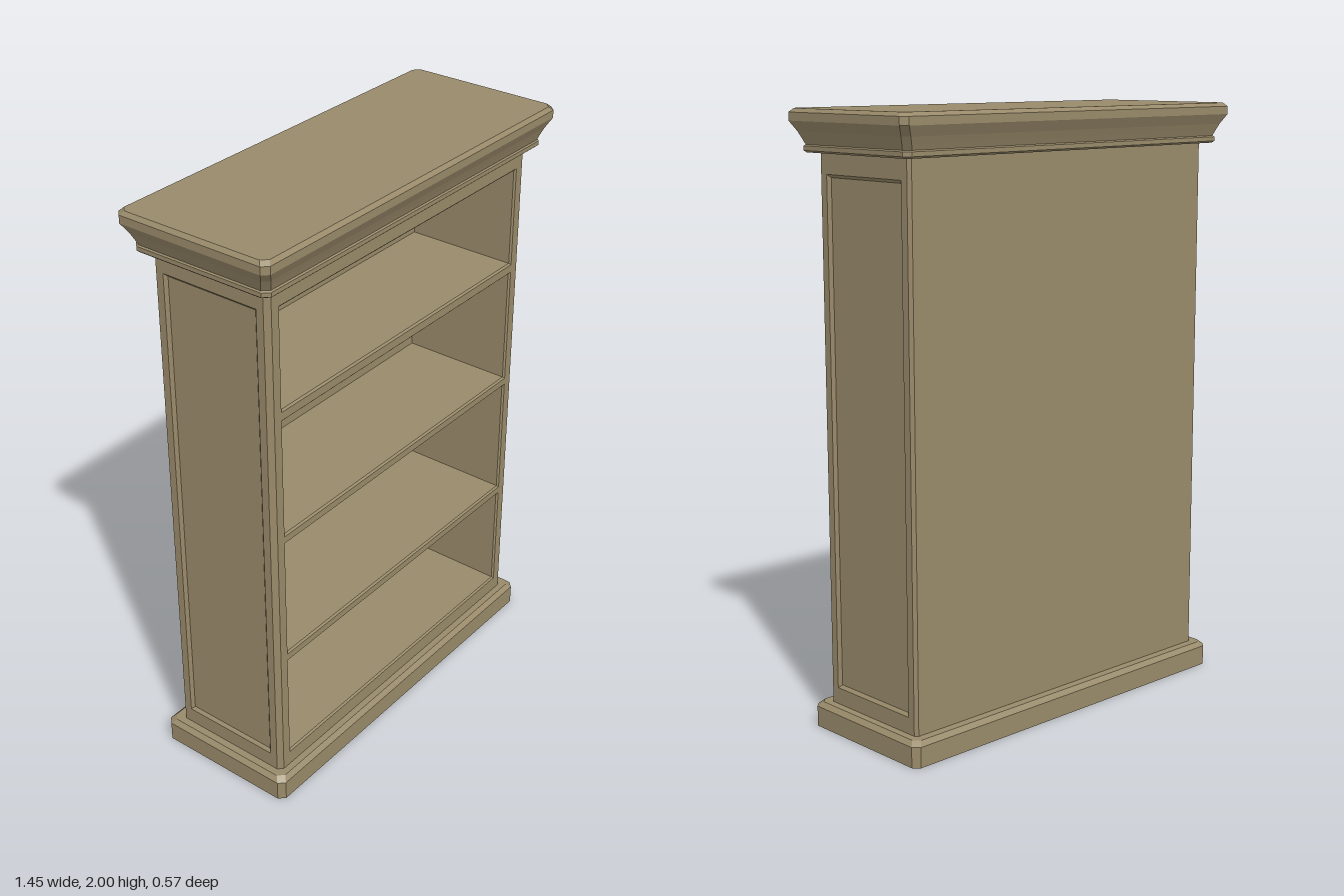
import * as THREE from 'three';

const wood = new THREE.MeshStandardMaterial({ color: 0x998a6a, flatShading: true });

function add(group, name, geometry) {
  const mesh = new THREE.Mesh(geometry, wood);
  mesh.name = name;
  group.add(mesh);
  return mesh;
}

// Moulding with cut corners, lofted through rings of [halfX, halfZ, y]
function moulding(rings, cut) {
  const loops = rings.map(([x, z, y]) => [
    [x, y, z - cut], [x, y, cut - z], [x - cut, y, -z], [cut - x, y, -z],
    [-x, y, cut - z], [-x, y, z - cut], [cut - x, y, z], [x - cut, y, z],
  ]);
  const pos = [];
  const n = 8;
  for (let r = 0; r < loops.length - 1; r++) {
    const a = loops[r], b = loops[r + 1];
    for (let i = 0; i < n; i++) {
      const j = (i + 1) % n;
      pos.push(...a[i], ...a[j], ...b[j], ...a[i], ...b[j], ...b[i]);
    }
  }
  const bottom = loops[0], top = loops[loops.length - 1];
  for (let i = 1; i < n - 1; i++) {
    pos.push(...top[0], ...top[i], ...top[i + 1]);
    pos.push(...bottom[0], ...bottom[i + 1], ...bottom[i]);
  }
  const g = new THREE.BufferGeometry();
  g.setAttribute('position', new THREE.Float32BufferAttribute(pos, 3));
  g.computeVertexNormals();
  return g;
}

function rect(Type, x0, x1, y0, y1) {
  return new Type().setFromPoints([[x0, y0], [x1, y0], [x1, y1], [x0, y1]]
    .map(([x, y]) => new THREE.Vector2(x, y))).closePath();
}

// Board in the xy plane with openings and bevelled edges, spanning z = 0..depth
function framedBoard(outer, holes, depth, bevel) {
  const shape = rect(THREE.Shape, ...outer);
  shape.holes = holes.map((h) => rect(THREE.Path, ...h));
  return new THREE.ExtrudeGeometry(shape, {
    depth: depth - 2 * bevel, bevelEnabled: true, bevelSegments: 1,
    bevelThickness: bevel, bevelSize: bevel, bevelOffset: -bevel,
  }).translate(0, 0, bevel);
}

export function createModel() {
  const model = new THREE.Group();
  model.name = 'bookcase';

  // Plinth and crown
  add(model, 'plinth', moulding([
    [0.69, 0.258, 0], [0.69, 0.258, 0.068], [0.675, 0.243, 0.083],
  ], 0.02));
  add(model, 'cornice', moulding([
    [0.685, 0.248, 1.866], [0.692, 0.255, 1.872], [0.692, 0.255, 1.886],
    [0.687, 0.25, 1.89], [0.695, 0.257, 1.908], [0.705, 0.266, 1.93],
    [0.725, 0.283, 1.962], [0.725, 0.283, 1.988], [0.713, 0.271, 2],
  ], 0.02));

  // Carcass with four shelf bays
  const bays = [[0.14, 0.52], [0.556, 0.98], [1.016, 1.42], [1.46, 1.797]];
  const carcass = add(model, 'carcassAndShelves', framedBoard(
    [-0.64, 0.64, 0.05, 1.9],
    bays.map(([y0, y1]) => [-0.596, 0.596, y0, y1]), 0.42, 0.006));
  carcass.position.z = -0.2;

  const back = add(model, 'backPanel', new THREE.BoxGeometry(1.28, 1.85, 0.035));
  back.position.set(0, 0.975, -0.1965);

  // Raised frame around the sunken panel on each side
  for (const side of [-1, 1]) {
    const frame = add(model, side > 0 ? 'leftSideFrame' : 'rightSideFrame', framedBoard(
      [-0.214, 0.214, 0.05, 1.9], [[-0.167, 0.167, 0.148, 1.79]], 0.036, 0.01));
    frame.rotation.y = side * Math.PI / 2;
    frame.position.x = side * 0.614;
  }

  return model;
}
